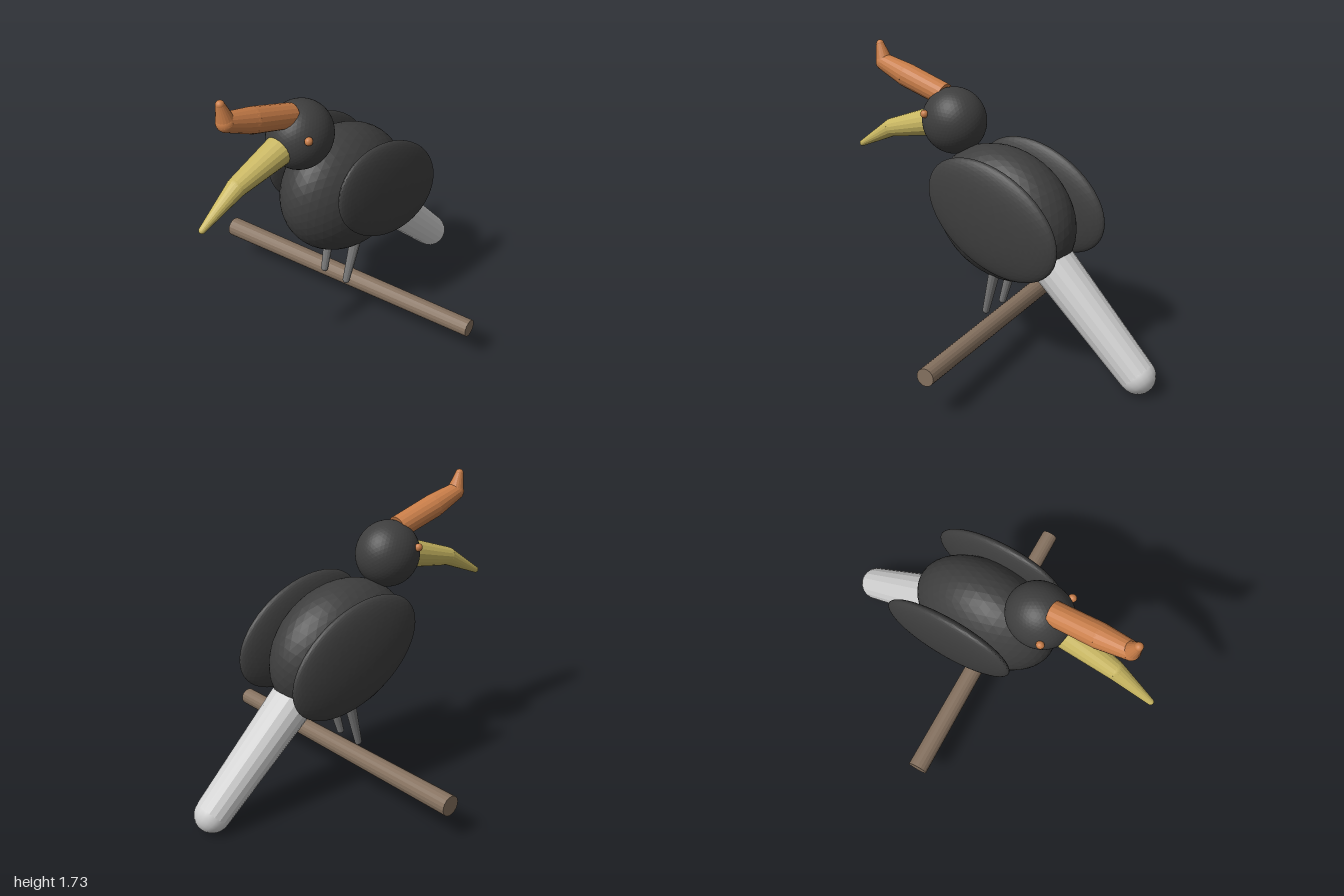
import * as THREE from 'three';

const paint = (name, color) => {
  const m = new THREE.MeshStandardMaterial({ color });
  m.name = name;
  return m;
};

export function createModel() {
  const bird = new THREE.Group();
  bird.name = 'bird';
  const plumage = paint('black plumage', 0x3e3e3e);
  const tailWhite = paint('tail white', 0xd0d0d0);
  const orange = paint('casque orange', 0xc87d48);
  const yellow = paint('beak yellow', 0xc9b762);
  const bark = paint('bark brown', 0x85715f);
  const legGrey = paint('leg grey', 0x777777);

  // Faceted ellipsoid, pitched about x
  function ellipsoid(name, material, pos, radii, pitch = 0, detail = 7) {
    const geo = new THREE.IcosahedronGeometry(1, detail);
    geo.scale(...radii).rotateX(pitch).translate(...pos);
    geo.computeVertexNormals();
    const mesh = new THREE.Mesh(geo, material);
    mesh.name = name;
    bird.add(mesh);
  }

  // Chain of tapered limbs through points [x, y, z, radius], with ball joints
  function limb(name, material, points, { sides = 18, balls = true } = {}) {
    const group = new THREE.Group();
    group.name = name;
    const up = new THREE.Vector3(0, 1, 0);
    for (let i = 1; i < points.length; i++) {
      const [ax, ay, az, ar] = points[i - 1];
      const [bx, by, bz, br] = points[i];
      const a = new THREE.Vector3(ax, ay, az), b = new THREE.Vector3(bx, by, bz);
      const dir = b.clone().sub(a);
      const geo = new THREE.CylinderGeometry(br, ar, dir.length(), sides).toNonIndexed();
      geo.computeVertexNormals();
      const mesh = new THREE.Mesh(geo, material);
      mesh.name = name + 'Segment';
      mesh.position.copy(a).add(b).multiplyScalar(0.5);
      mesh.quaternion.setFromUnitVectors(up, dir.normalize());
      group.add(mesh);
      if (balls) {
        const ball = new THREE.Mesh(new THREE.SphereGeometry(br, sides, 12), material);
        ball.name = name + 'Joint';
        ball.position.copy(b);
        ball.quaternion.copy(mesh.quaternion);
        group.add(ball);
      }
    }
    bird.add(group);
  }

  // Body and head
  ellipsoid('body', plumage, [0, 0.857, -0.047], [0.265, 0.373, 0.442], -0.39);
  ellipsoid('head', plumage, [0, 1.335, 0.291], [0.17, 0.187, 0.187], 0, 9);

  // Paired wings, eyes and legs
  for (const [side, s] of [['left', 1], ['right', -1]]) {
    ellipsoid(side + 'Wing', plumage, [s * 0.256, 0.908, -0.128], [0.065, 0.281, 0.432], -0.455, 9);
    ellipsoid(side + 'Eye', orange, [s * 0.15, 1.388, 0.385], [0.021, 0.023, 0.023], 0, 3);
    limb(side + 'Leg', legGrey, [[s * 0.097, 0.56, -0.05, 0.034], [s * 0.085, 0.278, 0.024, 0.021]], { sides: 12 });
  }

  // Curved beak
  limb('beak', yellow, [
    [0, 1.325, 0.38, 0.088],
    [0, 1.228, 0.745, 0.053],
    [0, 1.095, 0.982, 0.018],
  ]);

  // Upturned casque
  limb('casque', orange, [
    [0, 1.47, 0.36, 0.066],
    [0, 1.55, 0.62, 0.068],
    [0, 1.607, 0.785, 0.05],
    [0, 1.71, 0.812, 0.023],
  ]);

  // Long tail
  limb('tail', tailWhite, [[0, 0.7, -0.29, 0.13], [0, 0.105, -0.899, 0.101]]);

  // Branch perch
  limb('perch', bark, [[-0.85, 0.225, 0.037, 0.058], [0.85, 0.246, -0.133, 0.049]], { balls: false });

  return bird;
}
